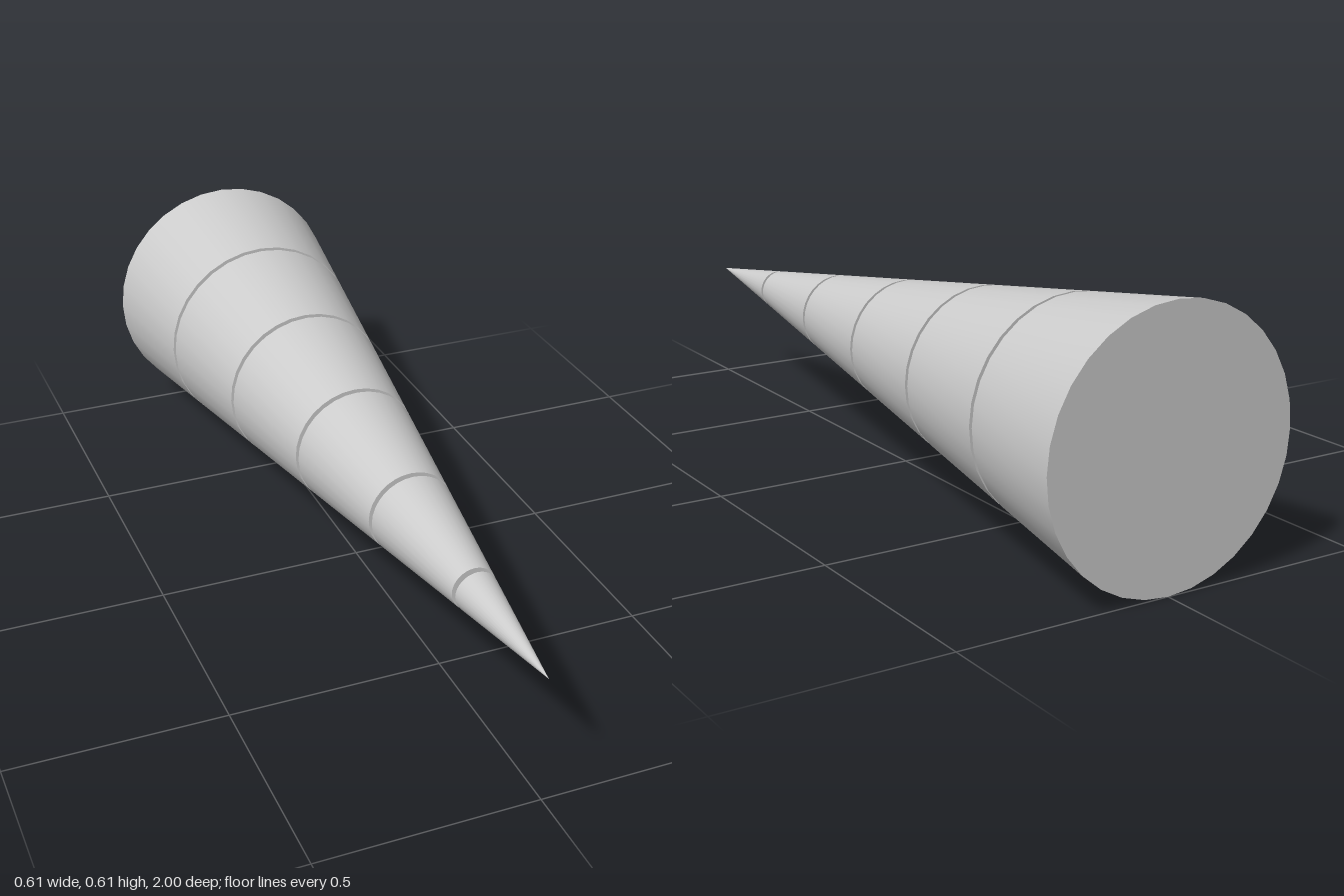
import * as THREE from 'three';

const LENGTH = 2, BASE_RADIUS = 0.303, SECTIONS = 6, SIDES = 32;
const GAP = 0.013, GROOVE_DEPTH = 0.013;

// radius of the cone at depth z, falling to zero at the tip (z = 1)
const radiusAt = (z) => BASE_RADIUS * (1 - z) / LENGTH;

export function createModel() {
  const model = new THREE.Group();
  model.name = 'segmentedCone';
  const material = new THREE.MeshStandardMaterial({ color: 0xcccccc });

  // round piece lying along z, from its front end to its back end
  function addPiece(name, front, back, frontRadius, backRadius, open = false) {
    const geometry = new THREE.CylinderGeometry(
      frontRadius, backRadius, front - back, SIDES, 1, open);
    geometry.rotateX(Math.PI / 2);
    const mesh = new THREE.Mesh(geometry, material);
    mesh.name = name;
    mesh.position.set(0, BASE_RADIUS, (front + back) / 2);
    model.add(mesh);
  }

  const step = LENGTH / SECTIONS;
  for (let i = 0; i < SECTIONS; i++) {
    const first = i === 0, last = i === SECTIONS - 1;
    const front = 1 - i * step - (first ? 0 : GAP / 2);
    const back = 1 - (i + 1) * step + (last ? 0 : GAP / 2);

    // tapered section, the first one running to a point
    addPiece(first ? 'tip' : `section${i + 1}`, front, back, radiusAt(front), radiusAt(back));

    // recessed core at the bottom of the groove behind this section
    if (!last) {
      const core = radiusAt(back) - GROOVE_DEPTH;
      addPiece(`groove${i + 1}`, back, back - GAP, core, core, true);
    }
  }
  return model;
}
